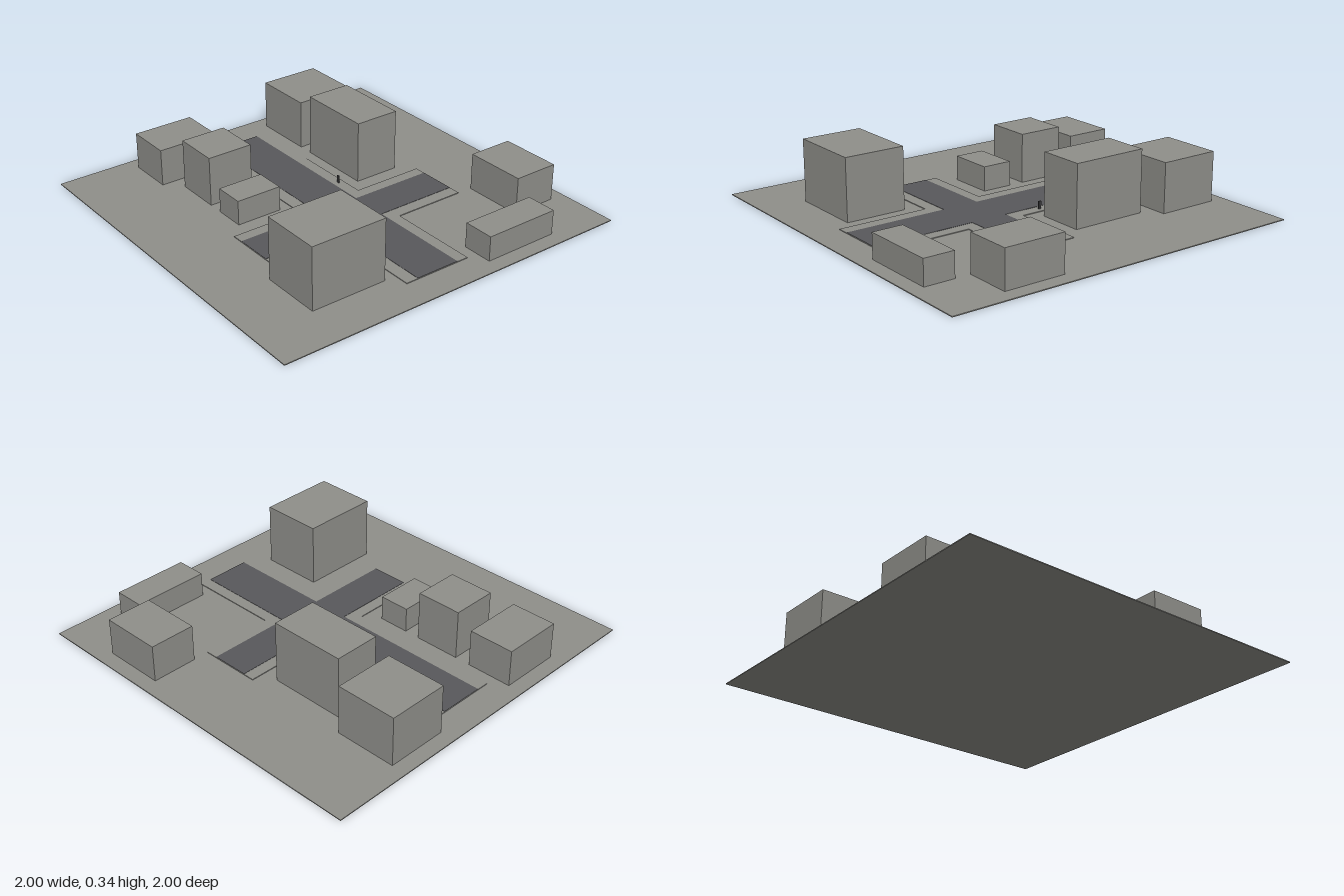
import * as THREE from 'three';

export function createModel() {
  const town = new THREE.Group();
  town.name = 'townBlock';
  const concrete = new THREE.MeshStandardMaterial({ name: 'concrete grey', color: 0x8f8f8a });
  const asphalt = new THREE.MeshStandardMaterial({ name: 'asphalt', color: 0x58585b });
  const dark = new THREE.MeshStandardMaterial({ name: 'dark grey', color: 0x3a3a3c });

  // Box given by its x, y and z extents
  function box(name, material, [x0, x1], [y0, y1], [z0, z1]) {
    const mesh = new THREE.Mesh(new THREE.BoxGeometry(x1 - x0, y1 - y0, z1 - z0), material);
    mesh.position.set((x0 + x1) / 2, (y0 + y1) / 2, (z0 + z1) / 2);
    mesh.name = name;
    town.add(mesh);
  }

  const groundTop = 0.005, paveTop = 0.009, roadTop = 0.0105;
  box('ground', concrete, [-1, 1], [0, groundTop], [-1, 1]);

  // Pavements, wider than the roads that lie on them
  box('pavementAcross', concrete, [-0.833, 0.833], [groundTop, paveTop], [-0.1875, 0.1875]);
  for (const [z0, z1] of [[-0.583, -0.1875], [0.1875, 0.583]]) {
    box('pavementAlong', concrete, [0, 0.333], [groundTop, paveTop], [z0, z1]);
  }

  // Crossing roads
  box('roadAcross', asphalt, [-0.832, 0.832], [paveTop, roadTop], [-0.125, 0.12]);
  for (const [z0, z1] of [[-0.582, -0.125], [0.12, 0.582]]) {
    box('roadAlong', asphalt, [0.0625, 0.2665], [paveTop, roadTop], [z0, z1]);
  }

  // Buildings: x extent, z extent, top
  const buildings = [
    [[-0.917, -0.583], [-0.583, -0.25], 0.272],
    [[-0.5, -0.083], [-0.5, -0.25], 0.339],
    [[0.333, 0.667], [-0.917, -0.667], 0.205],
    [[0.75, 0.917], [-0.667, -0.25], 0.138],
    [[-0.917, -0.667], [0.25, 0.583], 0.205],
    [[-0.583, -0.333], [0.25, 0.5], 0.272],
    [[-0.25, -0.083], [0.25, 0.5], 0.138],
    [[0.417, 0.75], [0.25, 0.667], 0.339],
  ];
  for (const [x, z, top] of buildings) box('building', concrete, x, [groundTop, top], z);

  // Small upright figure on the pavement
  box('pedestrian', dark, [-0.137, -0.121], [paveTop, 0.05], [-0.16, -0.154]);

  return town;
}
